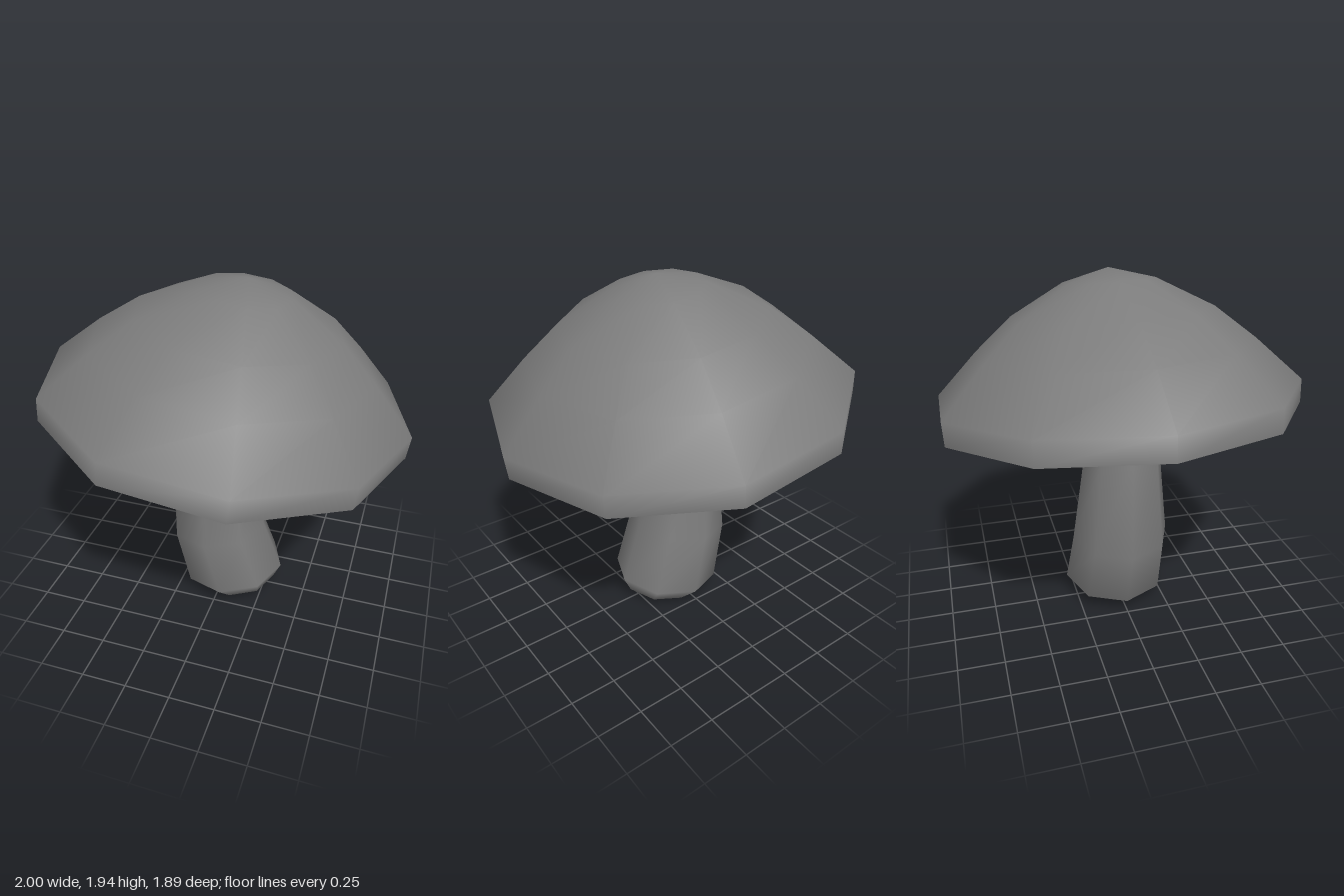
import * as THREE from 'three';
import { mergeVertices } from 'three/addons/utils/BufferGeometryUtils.js';

const material = new THREE.MeshStandardMaterial({ color: 0x7c7c7c });

// Lofts a smooth skin through tilted rings: [x, y, z, radius, slopeX, slopeZ]
function loft(name, rings, sides) {
  const positions = [];
  const index = [];
  for (const [cx, cy, cz, r, sx, sz] of rings) {
    for (let j = 0; j < sides; j++) {
      const a = (j / sides) * Math.PI * 2;
      const x = r * Math.cos(a);
      const z = r * Math.sin(a);
      positions.push(cx + x, cy + sx * x + sz * z, cz + z);
    }
  }
  for (let i = 0; i < rings.length - 1; i++) {
    for (let j = 0; j < sides; j++) {
      const k = (j + 1) % sides;
      const a = i * sides + j, d = i * sides + k;
      const b = a + sides, c = d + sides;
      // a ring of radius 0 is a pole, so its quads become triangles
      if (rings[i][3] > 0) index.push(a, b, d);
      if (rings[i + 1][3] > 0) index.push(b, c, d);
    }
  }
  let geometry = new THREE.BufferGeometry();
  geometry.setAttribute('position', new THREE.Float32BufferAttribute(positions, 3));
  geometry.setIndex(index);
  geometry = mergeVertices(geometry, 1e-5);
  geometry.computeVertexNormals();
  const mesh = new THREE.Mesh(geometry, material);
  mesh.name = name;
  return mesh;
}

export function createModel() {
  const model = new THREE.Group();
  model.name = 'mushroom';

  // Cap: tilted ten-sided dome, flat underside ring and a hollow inside
  const cap = new THREE.Group();
  cap.name = 'cap';
  const tilt = [-0.121, 0.031];
  const rim = [-0.008, 1.193, 0, 0.991, ...tilt];
  const opening = [-0.025, 1.103, 0, 0.575, ...tilt];
  cap.add(
    loft('capDome', [
      rim,
      [0.005, 1.318, -0.003, 0.995, ...tilt],
      [0.035, 1.55, -0.01, 0.755, ...tilt],
      [0.065, 1.725, -0.015, 0.545, ...tilt],
      [0.097, 1.885, -0.02, 0.245, ...tilt],
      [0.11, 1.948, -0.02, 0, 0, 0],
    ], 10),
    loft('capUnderside', [opening, rim], 10),
    loft('capHollow', [
      [0.06, 1.72, -0.015, 0, 0, 0],
      [0.045, 1.64, -0.01, 0.34, ...tilt],
      [0.015, 1.4, -0.005, 0.54, ...tilt],
      opening,
    ], 10),
  );
  model.add(cap);

  // Stem: bent, tapering eight-sided stalk reaching up into the cap
  model.add(loft('stem', [
    [0.09, 0.035, 0, 0, 0, 0],
    [0.09, 0.035, 0, 0.217, 0.138, 0],
    [0.05, 0.12, -0.004, 0.3, 0.131, 0],
    [-0.042, 0.435, 0.007, 0.281, 0.088, 0],
    [-0.065, 0.948, 0.012, 0.22, -0.102, 0.02],
    [0.05, 1.55, 0.005, 0.175, -0.2, 0.02],
    [0.055, 1.57, 0.005, 0, 0, 0],
  ], 8));

  return model;
}
